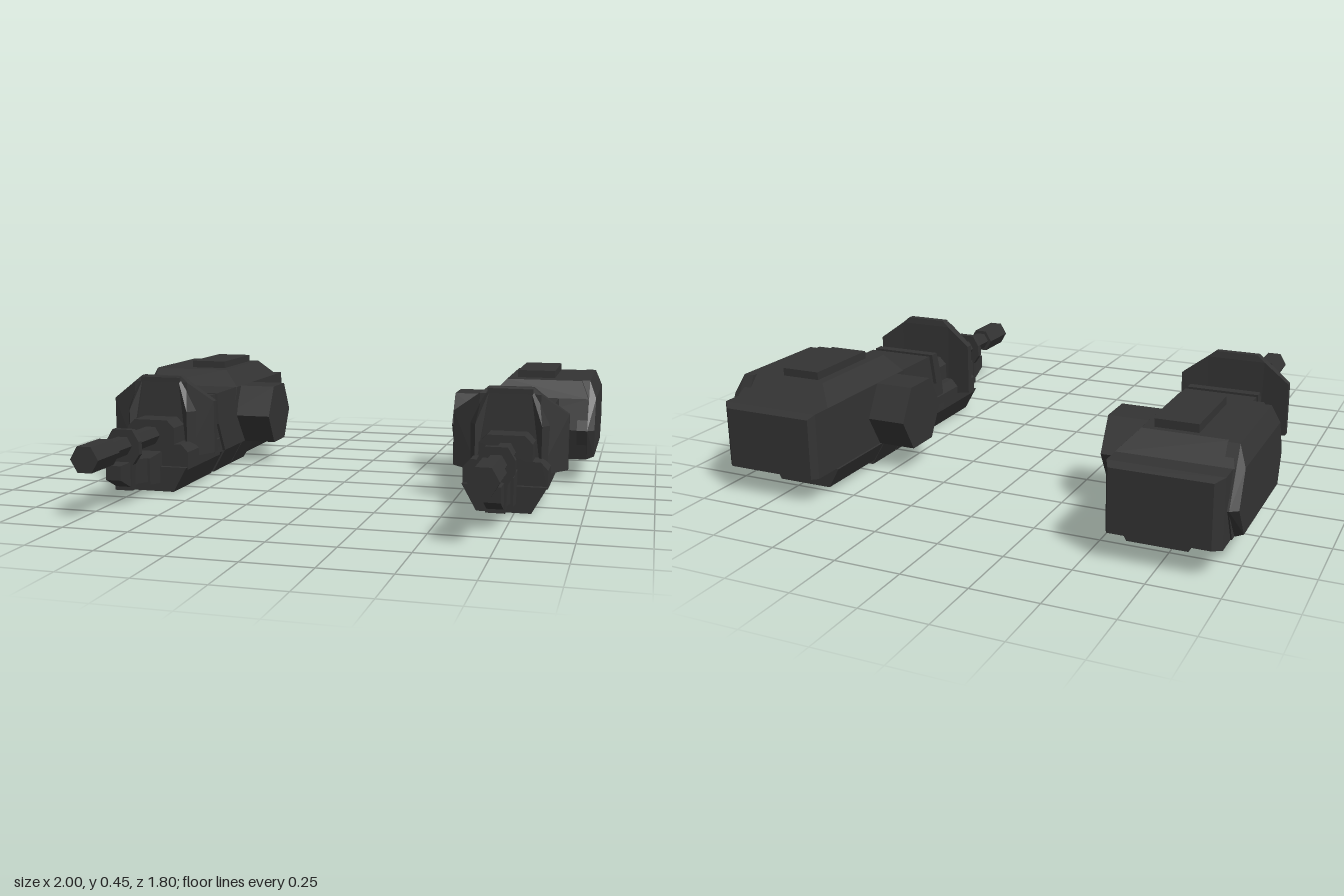
import * as THREE from 'three';
import { ConvexGeometry } from 'three/addons/geometries/ConvexGeometry.js';

const metal = new THREE.MeshStandardMaterial({ color: 0x333333, flatShading: true });
const AXIS = 0.71; // x of the barrel line

function part(parent, name, geometry) {
  const mesh = new THREE.Mesh(geometry, metal);
  mesh.name = name;
  parent.add(mesh);
  return mesh;
}

const outline = pts => new THREE.Shape(pts.map(p => new THREE.Vector2(p[0], p[1])));

// (x, y) profile mirrored about the barrel line and extruded from z0 to z1
function alongZ(half, z0, z1) {
  const pts = [...half, ...half.map(([x, y]) => [-x, y]).reverse()];
  const g = new THREE.ExtrudeGeometry(outline(pts), { depth: z1 - z0, bevelEnabled: false });
  return g.translate(AXIS, 0, z0);
}

// (z, y) profile extruded sideways, half width going from w0 at y0 to w1 at y1
function alongX(pts, w0, w1 = w0, y0 = 0.11, y1 = 0.36) {
  const g = new THREE.ExtrudeGeometry(outline(pts), { depth: 2, bevelEnabled: false });
  g.translate(0, 0, -1).rotateY(-Math.PI / 2);
  const p = g.attributes.position;
  for (let i = 0; i < p.count; i++) {
    const t = (p.getY(i) - y0) / (y1 - y0);
    p.setX(i, AXIS + p.getX(i) * (w0 + (w1 - w0) * t));
  }
  g.computeVertexNormals();
  return g;
}

// Convex solid around (x, y, z) corners
const hull = pts => new ConvexGeometry(pts.map(p => new THREE.Vector3(...p)));

// Convex solid through (z, y) profiles placed at given x
const slices = list => hull(list.flatMap(([x, pts]) => pts.map(([z, y]) => [x, y, z])));

// Six-sided bar along z with flats at top and bottom
function hexBar(r, z0, z1) {
  const g = new THREE.CylinderGeometry(r, r, z1 - z0, 6);
  return g.rotateY(Math.PI / 6).rotateX(Math.PI / 2).translate(AXIS, 0.233, (z0 + z1) / 2);
}

function buildGun() {
  const gun = new THREE.Group();

  // Barrel, muzzle and clamp
  part(gun, 'barrel', hexBar(0.039, 0.3, 0.75));
  part(gun, 'muzzle', hexBar(0.055, 0.73, 0.9));
  part(gun, 'barrelClamp', alongZ(
    [[0.035, 0.06], [0.04, 0.16], [0.067, 0.2], [0.067, 0.25], [0.04, 0.295]], 0.57, 0.597));

  // Stepped guide under the barrel
  part(gun, 'lowerGuideTip', alongX(
    [[0.55, 0.075], [0.6, 0.075], [0.68, 0.115], [0.68, 0.17], [0.55, 0.17]], 0.03));
  part(gun, 'lowerGuideMiddle', alongX(
    [[0.45, 0.065], [0.57, 0.08], [0.57, 0.175], [0.45, 0.16]], 0.036));
  part(gun, 'lowerGuideRoot', alongX(
    [[0.33, 0.04], [0.46, 0.055], [0.46, 0.16], [0.33, 0.17]], 0.046));

  // Trapezoid keel in segments
  const keel = [[0.102, 0.01], [0.158, 0.11]];
  for (const [z0, z1] of [[-0.03, 0.365], [-0.26, -0.06], [-0.44, -0.27]]) {
    part(gun, 'keel', alongZ(keel, z0, z1));
  }
  part(gun, 'keelCore', alongZ([[0.09, 0.025], [0.14, 0.11]], -0.4, 0.3));
  part(gun, 'rearKeel', alongZ([[0.11, 0.03], [0.155, 0.11]], -0.76, -0.44));

  // Receiver: front blocks, collar and main body
  part(gun, 'frontBlock', alongZ([[0.158, 0.1], [0.158, 0.17], [0.13, 0.2]], 0, 0.345));
  part(gun, 'frontRidge', alongZ([[0.1, 0.19], [0.1, 0.265], [0.07, 0.295]], 0.03, 0.345));
  part(gun, 'collar', alongX(
    [[-0.03, 0.11], [0.06, 0.11], [0.06, 0.25], [0.04, 0.36], [0, 0.36], [0.012, 0.23]], 0.16, 0.14));
  part(gun, 'receiverCore', alongX([[-0.1, 0.11], [0.03, 0.11], [0.03, 0.34], [-0.1, 0.34]], 0.14, 0.125));
  part(gun, 'receiver', alongX(
    [[-0.3, 0.11], [-0.055, 0.11], [-0.012, 0.23], [-0.025, 0.36], [-0.3, 0.36]], 0.16, 0.14));

  // Swept shield: centre panel, wings and raised rim
  part(gun, 'shieldCentre', hull([-1, 1].flatMap(s => [
    [0.115, 0.13, 0.19, 0.25], [0.115, 0.435, 0.195, 0.235], [0.085, 0.46, 0.2, 0.228],
  ].flatMap(([x, y, z0, z1]) => [[AXIS + s * x, y, z0], [AXIS + s * x, y, z1]]))));
  for (const s of [-1, 1]) {
    const at = (x, y, z) => [AXIS + s * x, y, z];
    part(gun, 'shieldWing', hull([
      at(0.11, 0.13, 0.19), at(0.11, 0.13, 0.25), at(0.115, 0.435, 0.195), at(0.115, 0.435, 0.235),
      at(0.218, 0.15, 0.18), at(0.218, 0.15, 0.21), at(0.218, 0.36, 0.18), at(0.218, 0.36, 0.21),
    ]));
    part(gun, 'shieldRim', hull([
      at(0.125, 0.13, 0.23), at(0.125, 0.13, 0.273), at(0.15, 0.13, 0.23),
      at(0.125, 0.32, 0.23), at(0.125, 0.32, 0.273), at(0.15, 0.32, 0.23),
      at(0.08, 0.44, 0.22), at(0.08, 0.44, 0.242), at(0.105, 0.44, 0.22),
    ]));
  }
  part(gun, 'shieldTopRim', new THREE.BoxGeometry(0.17, 0.02, 0.03).translate(AXIS, 0.445, 0.229));

  // Rear housing, its bevelled side plate and end block
  const low = [[-0.24, 0.11], [-0.21, 0.235], [-0.25, 0.36], [-0.79, 0.36], [-0.84, 0.235], [-0.78, 0.11]];
  const top = [[-0.29, 0.43], [-0.72, 0.43]];
  part(gun, 'housing', slices([[0.565, low], [0.97, low], [0.63, top], [0.94, top]]));
  const plate = [[-0.25, 0.11], [-0.2, 0.235], [-0.31, 0.43], [-0.74, 0.43], [-0.845, 0.235], [-0.75, 0.11]];
  const face = [[-0.265, 0.12], [-0.225, 0.235], [-0.28, 0.36], [-0.77, 0.36], [-0.825, 0.235], [-0.745, 0.12]];
  part(gun, 'sidePlate', slices([[0.93, plate], [0.972, plate], [1, face]]));
  const end = [[-0.7, 0.11], [-0.7, 0.36], [-0.87, 0.36], [-0.87, 0.11]];
  const endFace = [[-0.9, 0.115], [-0.9, 0.345]];
  part(gun, 'endBlock', slices([[0.565, end], [0.965, end], [0.58, endFace], [0.935, endFace]]));
  part(gun, 'topPanel', new THREE.BoxGeometry(0.155, 0.05, 0.33).translate(0.745, 0.435, -0.53));

  // Hexagonal mount on the inner side
  const mount = new THREE.CylinderGeometry(0.145, 0.145, 0.2, 6);
  mount.rotateY(Math.PI / 6).rotateX(Math.PI / 2).rotateY(Math.PI / 2).translate(0.51, 0.235, -0.375);
  part(gun, 'sideMount', mount);

  return gun;
}

export function createModel() {
  const model = new THREE.Group();
  model.name = 'twinGuns';
  for (const [name, side] of [['leftGun', 1], ['rightGun', -1]]) {
    const gun = buildGun();
    gun.name = name;
    gun.scale.x = side;
    model.add(gun);
  }
  return model;
}
